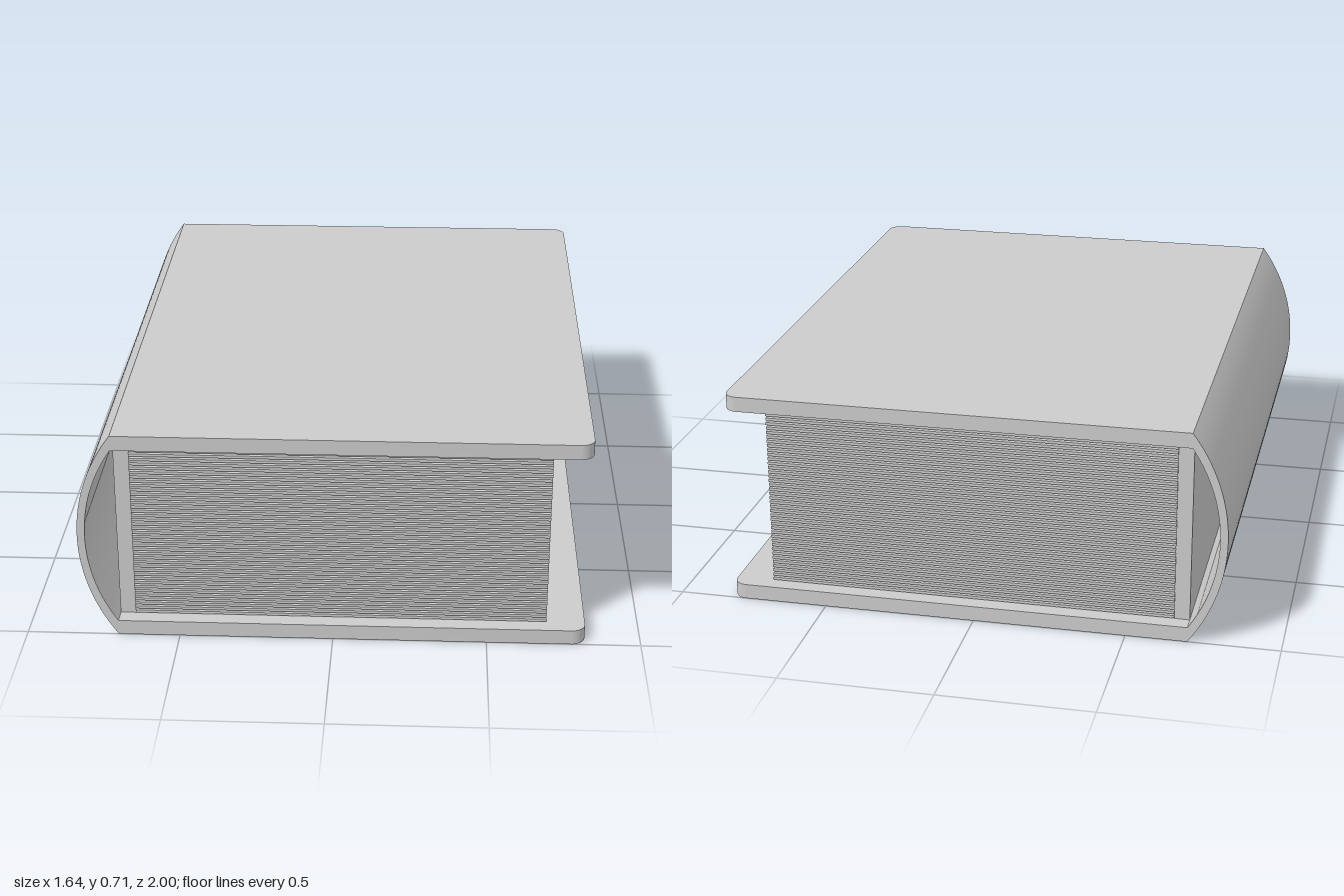
import * as THREE from 'three';
import { toCreasedNormals } from 'three/addons/utils/BufferGeometryUtils.js';

const H = 0.715, T = 0.05, HINGE = -0.70, EDGE = 0.82, MID = H / 2;

export function createModel() {
  const book = new THREE.Group();
  book.name = 'book';
  const material = new THREE.MeshStandardMaterial({ color: 0xcccccc });

  function add(name, geometry, x = 0, y = 0, z = 0, parent = book) {
    const mesh = new THREE.Mesh(geometry, material);
    mesh.name = name;
    mesh.position.set(x, y, z);
    parent.add(mesh);
    return mesh;
  }

  function extrude(shape, depth, curveSegments) {
    const geometry = new THREE.ExtrudeGeometry(shape, { depth, curveSegments, bevelEnabled: false });
    return toCreasedNormals(geometry, 0.5);
  }

  // Covers: boards with rounded corners along the opening edge
  const r = 0.045;
  const board = new THREE.Shape();
  board.moveTo(HINGE, -1);
  board.lineTo(EDGE - r, -1);
  board.absarc(EDGE - r, -1 + r, r, -Math.PI / 2, 0, false);
  board.absarc(EDGE - r, 1 - r, r, 0, Math.PI / 2, false);
  board.lineTo(HINGE, 1);
  board.closePath();
  const cover = extrude(board, T, 8).rotateX(-Math.PI / 2);
  add('bottomCover', cover);
  add('topCover', cover, 0, H - T);

  // Spine: crescent between two arcs, running the full length
  const arc = (half, sag) => {
    const R = (half * half + sag * sag) / (2 * sag);
    return { R, cx: HINGE - sag + R, a: Math.asin(half / R) };
  };
  const outer = arc(MID, 0.12), inner = arc(MID - T, 0.095);
  const crescent = new THREE.Shape();
  crescent.absarc(outer.cx, MID, outer.R, Math.PI - outer.a, Math.PI + outer.a, false);
  crescent.absarc(inner.cx, MID, inner.R, Math.PI + inner.a, Math.PI - inner.a, true);
  crescent.closePath();
  add('spine', extrude(crescent, 2, 32), 0, 0, -1);

  // Binding block that holds the sheets
  add('binding', new THREE.BoxGeometry(0.05, H - 2 * T, 1.89), HINGE + 0.025, MID);

  // Pages: thin sheets separated by narrow gaps
  const pages = new THREE.Group();
  pages.name = 'pages';
  book.add(pages);
  const count = 40, pitch = (H - 2 * T) / count;
  const sheet = new THREE.BoxGeometry(1.345, pitch * 0.6, 1.9);
  for (let i = 0; i < count; i++) {
    add('page', sheet, 0.0225, T + (i + 0.5) * pitch, 0, pages);
  }
  return book;
}
